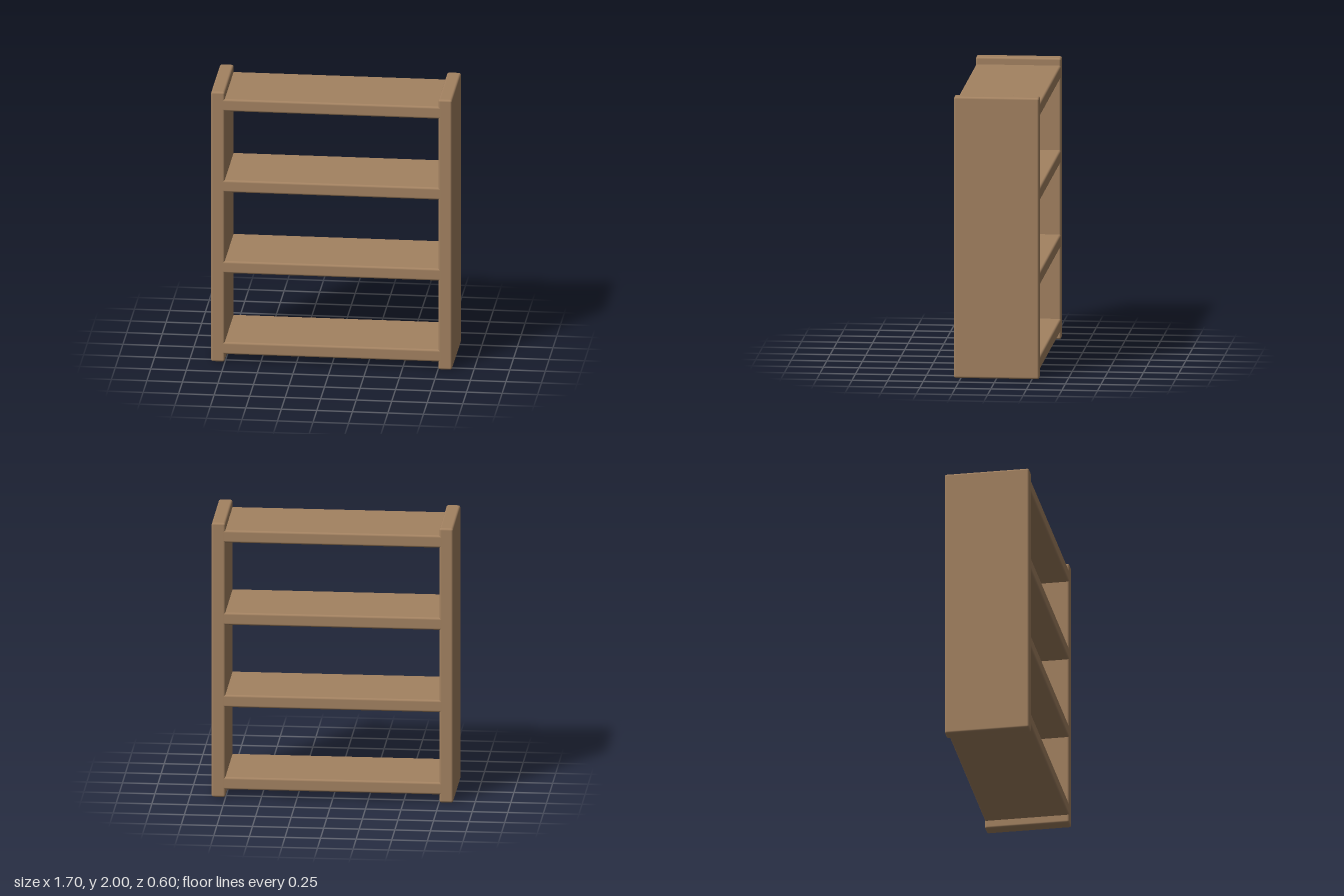
import * as THREE from 'three';
import { RoundedBoxGeometry } from 'three/addons/geometries/RoundedBoxGeometry.js';

const DEPTH = 0.6;
const EDGE = 0.015;

export function createModel() {
  const model = new THREE.Group();
  model.name = 'shelfUnit';

  const wood = new THREE.MeshStandardMaterial({ color: 0xa38261 });
  wood.name = 'wood';

  function addBoard(name, width, height, x, y) {
    const board = new THREE.Mesh(new RoundedBoxGeometry(width, height, DEPTH, 3, EDGE), wood);
    board.name = name;
    board.position.set(x, y, 0);
    model.add(board);
  }

  // Upright side panels
  addBoard('leftPanel', 0.097, 2, 0.8, 1);
  addBoard('rightPanel', 0.097, 2, -0.8, 1);

  // Four evenly spaced shelves, ends let into the panels
  for (let i = 0; i < 4; i++) {
    addBoard(`shelf${i + 1}`, 1.56, 0.09, 0, 0.102 + i * 0.6);
  }

  return model;
}
